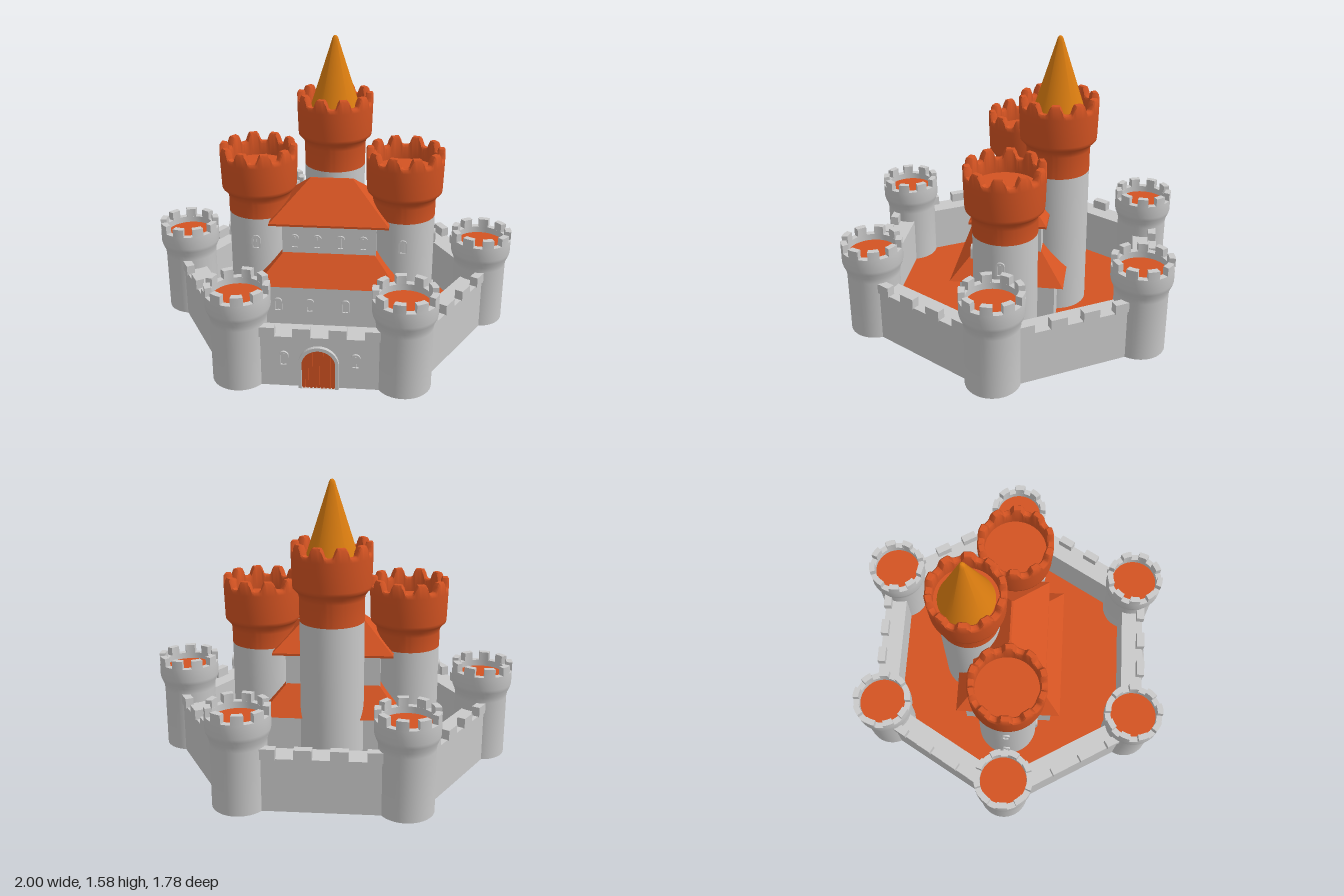
import * as THREE from 'three';
import { toCreasedNormals } from 'three/addons/utils/BufferGeometryUtils.js';

const mat = (name, color) => Object.assign(new THREE.MeshStandardMaterial({ color }), { name });
const V = (x, y) => new THREE.Vector2(x, y);

export function createModel() {
  const stone = mat('stone grey', 0xc9c9c9);
  const tile = mat('tile orange', 0xd35322);
  const gold = mat('spire gold', 0xdb7d10);
  const castle = new THREE.Group();
  castle.name = 'castle';

  const add = (parent, name, geo, material, x = 0, y = 0, z = 0) => {
    const m = new THREE.Mesh(geo, material);
    m.name = name;
    m.position.set(x, y, z);
    parent.add(m);
    return m;
  };
  const group = (parent, name, x = 0, y = 0, z = 0, turn = 0) => {
    const g = new THREE.Group();
    g.name = name;
    g.position.set(x, y, z);
    g.rotation.y = turn;
    parent.add(g);
    return g;
  };
  const lathe = (pts, seg = 48) =>
    toCreasedNormals(new THREE.LatheGeometry(pts.map(p => V(p[0], p[1])), seg), 0.6);
  const extrude = (shape, depth) =>
    new THREE.ExtrudeGeometry(shape, { depth, bevelEnabled: false, curveSegments: 12 });

  // Hexagon outline with its flat sides facing front and back
  const hexagon = apothem => Array.from({ length: 6 }, (_, i) => {
    const r = apothem / Math.cos(Math.PI / 6), a = i * Math.PI / 3;
    return V(r * Math.cos(a), r * Math.sin(a));
  });

  // Box whose top is scaled to a smaller rectangle, for hipped roofs
  const hipRoof = (w0, d0, w1, d1, h) => {
    const g = new THREE.BoxGeometry(w0, h, d0).toNonIndexed();
    const p = g.attributes.position;
    for (let i = 0; i < p.count; i++) {
      if (p.getY(i) > 0) p.setXYZ(i, p.getX(i) * w1 / w0, h / 2, p.getZ(i) * d1 / d0);
    }
    g.computeVertexNormals();
    return g.translate(0, h / 2, 0);
  };

  // Round-headed arch outline, standing on y = 0
  const trace = (path, w, h) => {
    path.moveTo(-w, 0);
    path.lineTo(w, 0);
    path.lineTo(w, h - w);
    path.absarc(0, h - w, w, 0, Math.PI, false);
    path.lineTo(-w, 0);
    return path;
  };

  // Window: raised arch frame with a mullion
  const frame = trace(new THREE.Shape(), 0.024, 0.075);
  frame.holes.push(trace(new THREE.Path(), 0.015, 0.065));
  const frameGeo = extrude(frame, 0.012);
  const mullionGeo = new THREE.BoxGeometry(0.007, 0.06, 0.006);
  const addWindow = (parent, x, y, z, turn = 0) => {
    const w = group(parent, 'window', x, y, z, turn);
    add(w, 'windowFrame', frameGeo, stone);
    add(w, 'windowMullion', mullionGeo, stone, 0, 0.03, 0.003);
  };

  // Courtyard and outer wall
  const ring = new THREE.Shape(hexagon(0.8));
  ring.holes.push(new THREE.Path(hexagon(0.675)));
  add(castle, 'outerWall', extrude(ring, 0.285).rotateX(-Math.PI / 2), stone);
  add(castle, 'courtyard', extrude(new THREE.Shape(hexagon(0.677)), 0.02).rotateX(-Math.PI / 2), tile);

  // Battlements on each of the six sides
  const merlonGeo = new THREE.BoxGeometry(0.09, 0.055, 0.045);
  for (let i = 0; i < 6; i++) {
    const side = group(castle, 'battlements', 0, 0, 0, i * Math.PI / 3);
    for (let k = -1.5; k <= 1.5; k++) add(side, 'wallMerlon', merlonGeo, stone, k * 0.18, 0.31, 0.785);
  }

  // Six corner towers
  const towerGeo = lathe([[0, 0], [0.143, 0], [0.143, 0.34], [0.147, 0.37], [0.16, 0.4], [0.165, 0.42],
    [0.165, 0.495], [0.132, 0.495], [0.132, 0.45]]);
  const floorGeo = new THREE.CircleGeometry(0.133, 48).rotateX(-Math.PI / 2);
  const merlons = 9, half = Math.PI / merlons * 0.55;
  const arc = new THREE.Shape();
  arc.absarc(0, 0, 0.165, -half, half, false);
  arc.absarc(0, 0, 0.132, half, -half, true);
  arc.closePath();
  const arcGeo = extrude(arc, 0.047).rotateX(-Math.PI / 2);
  for (let i = 0; i < 6; i++) {
    const a = i * Math.PI / 3;
    const t = group(castle, 'cornerTower', 0.835 * Math.cos(a), 0, 0.835 * Math.sin(a), -a);
    add(t, 'towerShaft', towerGeo, stone);
    add(t, 'towerFloor', floorGeo, tile, 0, 0.46, 0);
    for (let k = 0; k < merlons; k++) {
      add(t, 'towerMerlon', arcGeo, stone, 0, 0.494, 0).rotation.y = k * 2 * Math.PI / merlons;
    }
  }

  // Gate in the front wall
  const gate = group(castle, 'gate', -0.005, 0, 0.8);
  const surround = trace(new THREE.Shape(), 0.102, 0.24);
  surround.holes.push(trace(new THREE.Path(), 0.085, 0.222));
  add(gate, 'gateSurround', extrude(surround, 0.02), stone);
  add(gate, 'gateDoor', extrude(trace(new THREE.Shape(), 0.086, 0.223), 0.005), tile);
  for (let k = -4; k <= 4; k++) {
    const x = k * 0.0185, h = 0.137 + Math.sqrt(0.085 ** 2 - x * x);
    add(gate, 'gatePlank', new THREE.BoxGeometry(0.012, h, 0.009), tile, x, h / 2, 0.007);
  }
  for (const s of [-1, 1]) addWindow(castle, s * 0.18, 0.13, 0.799);

  // Keep: two storeys, each under a hipped roof
  const keep = group(castle, 'keep', -0.01);
  add(keep, 'lowerStorey', new THREE.BoxGeometry(0.72, 0.29, 0.52), stone, 0, 0.145, 0);
  add(keep, 'lowerRoof', hipRoof(0.79, 0.62, 0.5, 0.34, 0.155), tile, 0, 0.288, 0);
  add(keep, 'upperStorey', new THREE.BoxGeometry(0.52, 0.24, 0.35), stone, 0, 0.5, 0);
  add(keep, 'upperEave', new THREE.BoxGeometry(0.66, 0.012, 0.42), tile, 0, 0.616, 0);
  add(keep, 'upperRoof', hipRoof(0.66, 0.42, 0.24, 0.012, 0.2), tile, 0, 0.62, 0);
  for (const x of [-0.19, -0.065, 0.065, 0.19]) addWindow(keep, x, 0.475, 0.174);
  for (const x of [-0.28, -0.1, 0.1, 0.28]) addWindow(keep, x, 0.12, 0.259);

  // Orange tower head whose rim dips in rounded notches; y = 0 is the rim
  const headGeo = length => {
    const pts = [[0.174, -length], [0.174, -0.3], [0.18, -0.275], [0.198, -0.255], [0.208, -0.245],
      [0.21, -0.23], [0.215, -0.075], [0.215, -0.01], [0.208, 0], [0.182, 0], [0.175, -0.01],
      [0.175, -0.13], [0, -0.13]];
    const g = new THREE.LatheGeometry(pts.map(p => V(p[0], p[1])), 120);
    const p = g.attributes.position;
    for (let i = 0; i < p.count; i++) {
      if (p.getY(i) < -0.02) continue;
      const wave = Math.cos(10 * Math.atan2(p.getX(i), p.getZ(i)));
      const dip = THREE.MathUtils.smoothstep(wave, -0.45, 0.75);
      p.setY(i, p.getY(i) - 0.052 * dip);
    }
    return toCreasedNormals(g, 0.7);
  };
  const keepTower = (name, x, z, split, top) => {
    const t = group(keep, name, x, 0, z);
    add(t, 'keepTowerShaft', lathe([[0, 0], [0.173, 0], [0.173, split]]), stone);
    add(t, 'keepTowerHead', headGeo(top - split), tile, 0, top, 0);
    return t;
  };
  for (const s of [-1, 1]) {
    const t = keepTower(s > 0 ? 'leftKeepTower' : 'rightKeepTower', s * 0.407, 0, 0.63, 1.015);
    for (const y of [0.13, 0.46]) {
      for (const a of [0, s * Math.PI / 2]) {
        addWindow(t, 0.17 * Math.sin(a), y, 0.17 * Math.cos(a), a);
      }
    }
  }

  // Tall rear tower with its spire
  const tall = keepTower('tallTower', 0, -0.235, 0.83, 1.255);
  add(tall, 'spire', lathe([[0.157, 1.12], [0.13, 1.2], [0.02, 1.545], [0.016, 1.56], [0.009, 1.571], [0, 1.575]]), gold);

  return castle;
}
